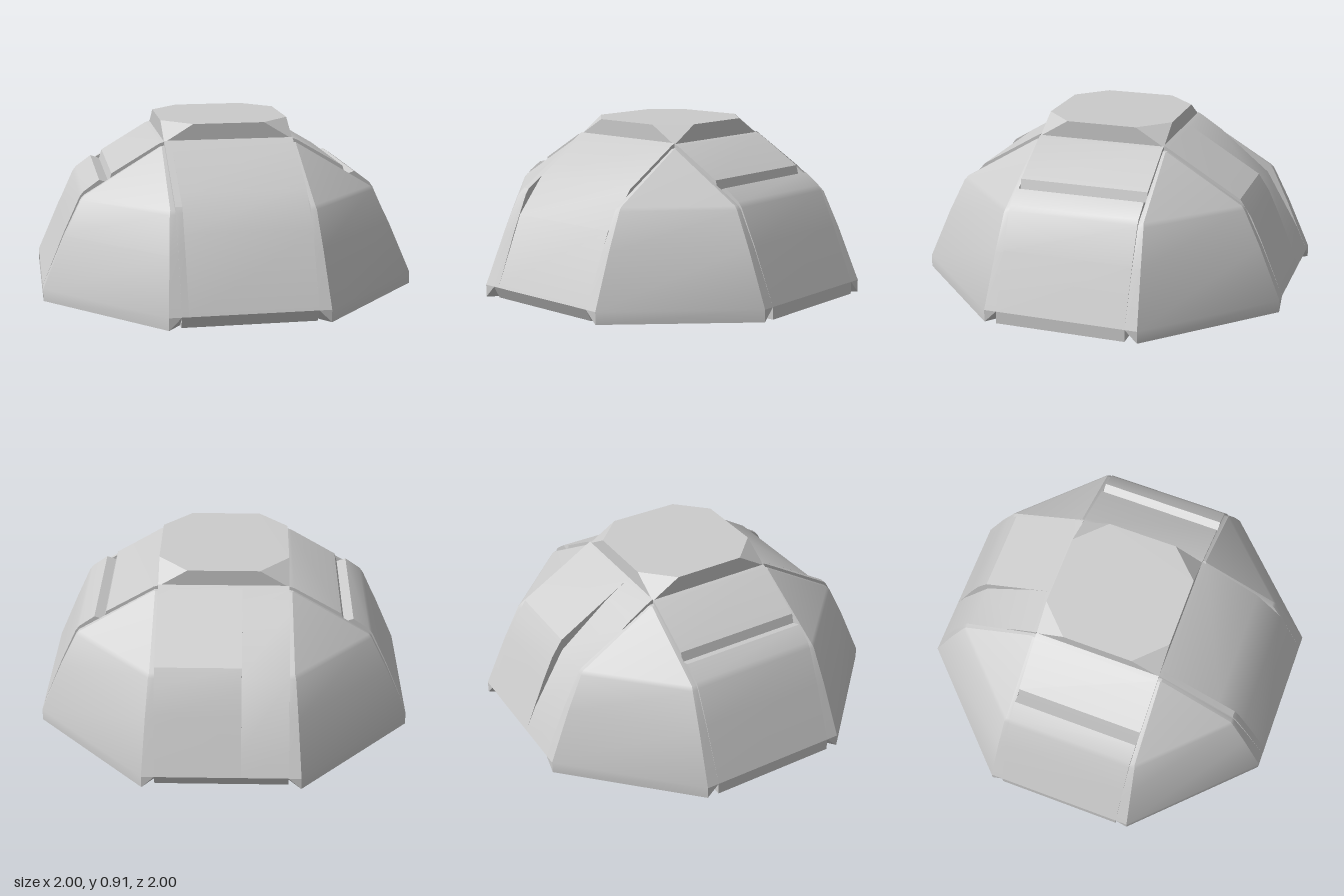
import * as THREE from 'three';
import { toCreasedNormals } from 'three/addons/utils/BufferGeometryUtils.js';
import { ConvexGeometry } from 'three/addons/geometries/ConvexGeometry.js';

const S = 0.345; // half width of the straight panels and the cap

export function createModel() {
  const group = new THREE.Group();
  const mat = new THREE.MeshStandardMaterial({ color: 0xcccccc });

  const add = (name, geometry, angle = 0) => {
    const mesh = new THREE.Mesh(toCreasedNormals(geometry, 0.38), mat);
    mesh.name = name;
    mesh.rotation.y = angle;
    group.add(mesh);
  };

  // A wall panel: a (distance from centre, height) profile swept sideways
  const panel = (name, profile, from, to, angle) => {
    const shape = new THREE.Shape(profile.map(p => new THREE.Vector2(...p)));
    const geometry = new THREE.ExtrudeGeometry(shape, { depth: to - from, bevelEnabled: false });
    geometry.translate(0, 0, from);
    add(name, geometry, angle);
  };

  // Side panels with a notched ledge outside and a matching step inside
  const side = [
    [0.92, 0], [1, 0], [1, 0.065], [0.88, 0.355], [0.795, 0.54], [0.775, 0.567], [0.69, 0.628],
    [0.64, 0.61], [0.625, 0.66], [0.37, 0.812], [S, 0.82], [S, 0.67],
    [0.58, 0.53], [0.6, 0.465], [0.66, 0.465], [0.72, 0.41],
  ];
  panel('leftPanel', side, -S, S, 0);
  panel('rightPanel', side, -S, S, Math.PI);

  // Front and back panels: undercut foot, outer curve, straight inner ramp
  const ramp = outer => [[0.92, 0], [0.965, 0], [1, 0.065], ...outer, [0.37, 0.812], [S, 0.825], [S, 0.65]];
  const full = ramp([[0.88, 0.355], [0.795, 0.54], [0.775, 0.567]]);
  const chamfered = ramp([[0.84, 0.435], [0.68, 0.625]]);
  const rounded = ramp([[0.88, 0.355], [0.82, 0.485], [0.76, 0.575]]);
  const sunken = ramp([[0.94, 0.2], [0.76, 0.51], [0.48, 0.74]]);
  panel('frontPanel', chamfered, -S, 0.31, -Math.PI / 2);
  panel('frontEdgeStrip', full, 0.31, S, -Math.PI / 2);
  panel('backPanel', rounded, -0.1, S, Math.PI / 2);
  panel('backSunkenPanel', sunken, -S, -0.1, Math.PI / 2);

  // Corner blocks: curved outside, flat triangular ramp inside
  const corner = cornerBlock();
  ['frontLeft', 'backLeft', 'backRight', 'frontRight'].forEach((name, i) =>
    add(name + 'Corner', corner, i * Math.PI / 2));

  // Cap: square block with its upper corners cut off
  const points = [];
  for (const x of [-1, 1]) for (const z of [-1, 1]) {
    points.push(
      new THREE.Vector3(x * 0.19, 0.91, z * S),
      new THREE.Vector3(x * S, 0.91, z * 0.19),
      new THREE.Vector3(x * S, 0.815, z * S),
      new THREE.Vector3(x * S, 0.78, z * S));
  }
  add('cap', new ConvexGeometry(points));

  return group;
}

function cornerBlock() {
  const positions = [];
  const face = (...p) => {
    for (let i = 1; i < p.length - 1; i++) positions.push(...p[0], ...p[i], ...p[i + 1]);
  };

  // Rows of four points: distance out, corner offset, height
  const rows = [[1, 0.41, 0.065], [0.88, 0.39, 0.345], [0.79, 0.375, 0.53], [0.773, 0.37, 0.55], [0.365, 0.36, 0.797]]
    .map(([d, h, y]) => [[S, y, d], [h, y, d], [d, y, h], [d, y, S]]);
  const low = rows[0], top = rows[rows.length - 1];
  const apex = [S, 0.8, S], inner = [S, 0.64, S];
  const outA = [0.41, 0, 1], outB = [1, 0, 0.41], inA = [S, 0, 0.92], inB = [0.92, 0, S];

  // Outer curve
  for (let i = 0; i < rows.length - 1; i++)
    for (let k = 0; k < 3; k++)
      face(rows[i][k], rows[i][k + 1], rows[i + 1][k + 1], rows[i + 1][k]);
  // Rim with bevelled ends
  face(outA, outB, low[2], low[1]);
  face(outA, low[1], low[0]);
  face(outB, low[3], low[2]);
  face(inA, outA, low[0]);
  face(outB, inB, low[3]);
  // Underside, inner ramp, top and end walls
  face(inA, inB, outB, outA);
  face(inB, inA, inner);
  face(apex, ...top);
  face(inA, ...rows.map(r => r[0]), apex, inner);
  face(inB, inner, apex, ...rows.map(r => r[3]).reverse());

  const geometry = new THREE.BufferGeometry();
  geometry.setAttribute('position', new THREE.Float32BufferAttribute(positions, 3));
  return geometry;
}
